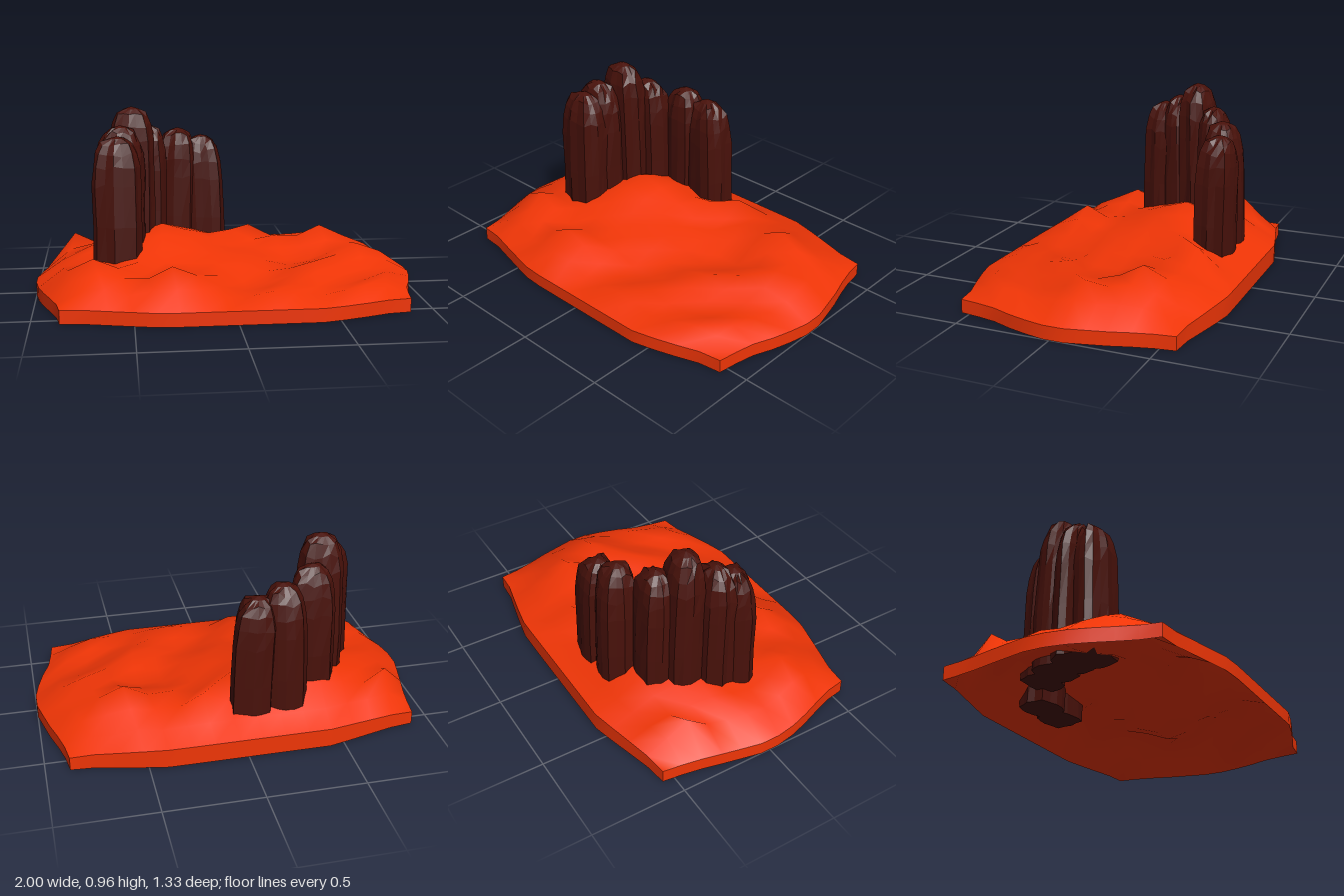
import * as THREE from 'three';

const sand = new THREE.MeshStandardMaterial({ color: 0xf03506, side: THREE.DoubleSide });
const rock = new THREE.MeshStandardMaterial({ color: 0x48110a, flatShading: true });

// Small seeded random generator
function seeded(seed) {
  let s = seed * 7919 + 17;
  return () => (s = (s * 16807) % 2147483647) / 2147483647;
}

// Piecewise-linear lookup through [input, output] points
function lookup(points, v) {
  for (let i = 1; i < points.length; i++) {
    const [a, fa] = points[i - 1], [b, fb] = points[i];
    if (v <= b) return fa + (fb - fa) * Math.max(0, (v - a) / (b - a));
  }
  return points[points.length - 1][1];
}

// Slab outline: x along the two sides, z along front and back (input -1..1)
const rightEdge = [[-1, -0.9], [-0.72, -0.92], [-0.5, -0.95], [-0.1, -1], [0.1, -1], [0.3, -0.98], [0.57, -0.93], [0.75, -0.885], [1, -0.86]];
const leftEdge = [[-1, 0.88], [-0.75, 0.9], [-0.47, 0.95], [-0.17, 0.99], [-0.09, 1], [0.09, 1], [0.2, 0.99], [0.45, 0.95], [0.68, 0.9], [1, 0.875]];
const backEdge = [[-1, -0.56], [-0.87, -0.575], [-0.67, -0.62], [-0.48, -0.665], [0.46, -0.665], [0.67, -0.63], [0.85, -0.59], [1, -0.58]];
const frontEdge = [[-1, 0.56], [-0.87, 0.57], [-0.69, 0.61], [-0.5, 0.65], [-0.43, 0.665], [0.48, 0.665], [0.67, 0.62], [0.87, 0.56], [1, 0.545]];

const COLS = 15, ROWS = 11, THICK = 0.07;

// Dune peaks: grid column, grid row, height, reach in cells
const dunes = [
  [5, 4, 0.32, 5],
  [5, 9, 0.235, 2.2],
  [2, 8, 0.245, 2.4],
  [1, 2, 0.235, 2],
  [8, 3, 0.25, 2.2],
  [9, 2, 0.25, 2],
  [10, 3, 0.21, 1.8],
  [12, 3, 0.265, 2.5],
  [13, 5, 0.21, 2.2],
  [12, 6, 0.18, 2],
  [11, 7, 0.18, 2],
  [9, 6, 0.16, 2],
];

function duneHeight(col, row) {
  const base = 0.115 + 0.015 * Math.sin(col * 1.7 + row * 1.1);
  let h = base;
  for (const [c, r, top, reach] of dunes) {
    const d = Math.hypot(col - c, row - r) / reach;
    if (d < 1) h = Math.max(h, base + (top - base) * (1 - d));
  }
  return row < 1.5 || row > 9.5 ? Math.min(h, 0.15) : h;
}

const onRim = (u, v) => Math.max(Math.abs(u), Math.abs(v)) > 0.999;

// Grid point (u, v in -1..1) on the curved slab
function groundPoint(u, v) {
  const x = THREE.MathUtils.lerp(lookup(rightEdge, v), lookup(leftEdge, v), (u + 1) / 2);
  const z = THREE.MathUtils.lerp(lookup(backEdge, u), lookup(frontEdge, u), (v + 1) / 2);
  let y = THICK;
  if (!onRim(u, v)) y = duneHeight((u + 1) * COLS / 2, (v + 1) * ROWS / 2);
  else if (v < -0.99) y += 0.03 * Math.min(1, Math.max(0, 2 - 2 * Math.abs(u)));
  return new THREE.Vector3(x, y, z);
}

// Matching point of the underside: flat at the rim, parallel to the dunes inside
function underPoint(u, v) {
  const p = groundPoint(u, v);
  p.y = onRim(u, v) ? 0 : p.y - THICK;
  return p;
}

// Plane whose grid points are moved to the place given by a function of (x, y)
function bentPlane(name, cols, rows, place) {
  const geo = new THREE.PlaneGeometry(2, 2, cols, rows);
  const pos = geo.attributes.position;
  for (let i = 0; i < pos.count; i++) {
    const p = place(pos.getX(i), pos.getY(i));
    pos.setXYZ(i, p.x, p.y, p.z);
  }
  geo.computeVertexNormals();
  const mesh = new THREE.Mesh(geo, sand);
  mesh.name = name;
  return mesh;
}

// Rim wall joining the two sheets
const makeWall = (name, segments, at) =>
  bentPlane(name, segments, 1, (t, side) => (side > 0 ? groundPoint : underPoint)(...at(t)));

// Fluted stone column with a rugged rounded top that leans slightly
const rings = [[0, 0.99], [0.35, 1], [0.65, 0.99], [0.78, 0.95], [0.88, 0.84], [0.95, 0.64], [0.985, 0.32]];

function makePillar([x, z, top, rx, rz, bottom, leanX, leanZ], index) {
  const rand = seeded(index + 3);
  const sides = 16;
  const flutes = Array.from({ length: sides }, (_, i) => (i % 4 === 1 ? 0.86 : 0.97) + 0.1 * (rand() - 0.5));
  const verts = [0, bottom, 0];
  const faces = [];
  rings.forEach(([t, r], k) => {
    for (let i = 0; i < sides; i++) {
      const a = (i / sides) * Math.PI * 2 + 0.15;
      const c = Math.cos(a), s = Math.sin(a);
      const square = Math.pow(c ** 4 + s ** 4, -0.25);
      const rad = r * flutes[i] * square * (1 + 0.06 * (rand() - 0.5));
      const y = bottom + (top - bottom) * t + (k > 1 && k < 6 ? 0.03 * (rand() - 0.5) : 0);
      verts.push(c * rx * rad + leanX * t * t, y, s * rz * rad + leanZ * t * t);
    }
  });
  verts.push(leanX, top, leanZ);
  const last = verts.length / 3 - 1;
  const id = (k, i) => 1 + k * sides + (i % sides);
  for (let i = 0; i < sides; i++) {
    faces.push(0, id(0, i), id(0, i + 1));
    for (let k = 0; k < rings.length - 1; k++) {
      faces.push(id(k, i), id(k + 1, i), id(k, i + 1), id(k, i + 1), id(k + 1, i), id(k + 1, i + 1));
    }
    faces.push(id(rings.length - 1, i), last, id(rings.length - 1, i + 1));
  }
  const geo = new THREE.BufferGeometry();
  geo.setAttribute('position', new THREE.Float32BufferAttribute(verts, 3));
  geo.setIndex(faces);
  geo.computeVertexNormals();
  const mesh = new THREE.Mesh(geo, rock);
  mesh.position.set(x, 0, z);
  mesh.name = `rockPillar${index + 1}`;
  return mesh;
}

export function createModel() {
  const model = new THREE.Group();
  model.name = 'desertRockFormation';

  const ground = new THREE.Group();
  ground.name = 'sandBase';
  ground.add(
    bentPlane('duneSurface', COLS, ROWS, (u, w) => groundPoint(u, -w)),
    bentPlane('duneUnderside', COLS, ROWS, (u, w) => underPoint(u, -w)),
    makeWall('frontWall', COLS, (t) => [t, 1]),
    makeWall('backWall', COLS, (t) => [-t, -1]),
    makeWall('leftWall', ROWS, (t) => [1, -t]),
    makeWall('rightWall', ROWS, (t) => [-1, t]),
  );

  // Arc of pillars: x, z, top, half width, half depth, foot height, lean
  const pillars = new THREE.Group();
  pillars.name = 'rockPillars';
  [
    [-0.063, -0.44, 0.775, 0.115, 0.103, 0.06, -0.03, 0],
    [-0.24, -0.435, 0.82, 0.115, 0.1, 0.06, 0.015, 0.025],
    [-0.41, -0.325, 0.855, 0.125, 0.09, 0.12, 0, 0.025],
    [-0.485, -0.205, 0.965, 0.128, 0.1, 0.12, 0, 0.025],
    [-0.55, -0.065, 0.88, 0.13, 0.09, 0.12, 0, 0.015],
    [-0.567, 0.052, 0.835, 0.13, 0.09, 0.12, 0, -0.01],
  ].forEach((p, i) => pillars.add(makePillar(p, i)));

  model.add(ground, pillars);
  return model;
}
